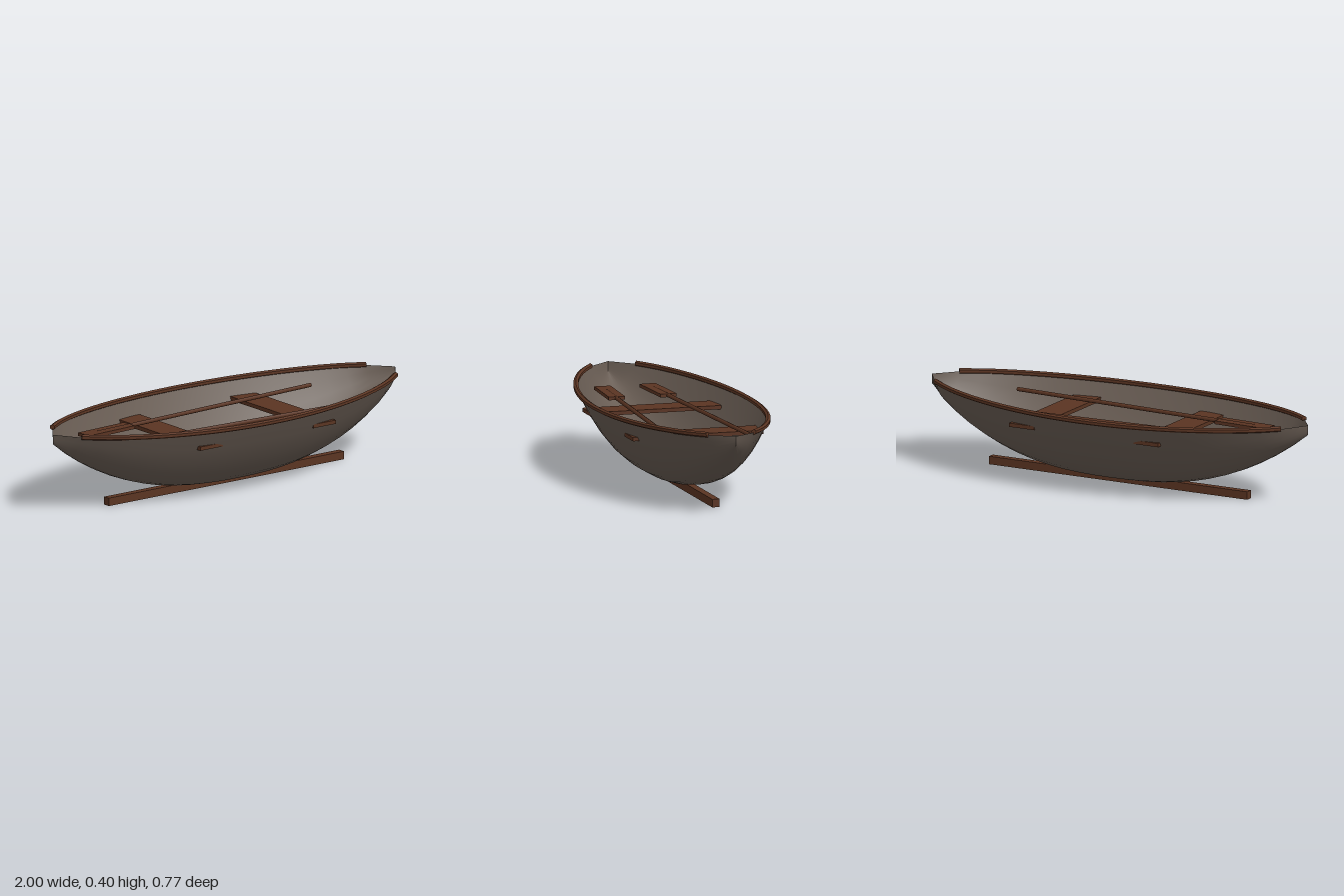
import * as THREE from 'three';

const LENGTH_STEPS = 24, SIDE_STEPS = 14;

// Hull lines: half width, sheer (top edge) height and bottom height along x
const halfBeam = x => 0.375 * Math.pow(Math.max(0, 1 - x * x), 0.66);
const sheer = x => 0.367 + 0.023 * x * x;
const bottom = x => 0.023 + 0.322 * Math.pow(Math.abs(x), 2.5);

// Open shell: cross-sections from stern to bow, each running side to side
function hullGeometry() {
  const pos = [], index = [], row = SIDE_STEPS + 1;
  for (let i = 0; i <= LENGTH_STEPS; i++) {
    const x = -1 + 2 * i / LENGTH_STEPS;
    for (let j = 0; j <= SIDE_STEPS; j++) {
      const v = -1 + 2 * j / SIDE_STEPS;
      const rise = Math.pow(Math.abs(v), 2.3);
      pos.push(x, bottom(x) + (sheer(x) - bottom(x)) * rise, halfBeam(x) * v);
      if (i < LENGTH_STEPS && j < SIDE_STEPS) {
        const a = i * row + j, b = a + row;
        index.push(a, b, a + 1, b, b + 1, a + 1);
      }
    }
  }
  const g = new THREE.BufferGeometry();
  g.setAttribute('position', new THREE.Float32BufferAttribute(pos, 3));
  g.setIndex(index);
  g.computeVertexNormals();
  return g;
}

// Hexagonal rail swept along one top edge, stopping short of both tips
function railGeometry(side) {
  const points = [];
  for (let i = 1; i < LENGTH_STEPS; i++) {
    const x = -1 + 2 * i / LENGTH_STEPS;
    points.push(new THREE.Vector3(x, sheer(x) + 0.002, side * halfBeam(x)));
  }
  const section = new THREE.Shape();
  for (let k = 0; k < 6; k++) {
    const a = k * Math.PI / 3;
    section[k ? 'lineTo' : 'moveTo'](0.013 * Math.cos(a), 0.013 * Math.sin(a));
  }
  section.closePath();
  return new THREE.ExtrudeGeometry(section, {
    steps: 44, bevelEnabled: false, extrudePath: new THREE.CatmullRomCurve3(points),
  });
}

export function createModel() {
  const boat = new THREE.Group();
  boat.name = 'rowingBoat';

  const hullPaint = new THREE.MeshStandardMaterial({ color: 0x675b52, side: THREE.DoubleSide });
  hullPaint.name = 'weatheredHull';
  const wood = new THREE.MeshStandardMaterial({ color: 0x5a3422 });
  wood.name = 'brownWood';

  const add = (parent, name, geometry, material, x = 0, y = 0, z = 0) => {
    const mesh = new THREE.Mesh(geometry, material);
    mesh.name = name;
    mesh.position.set(x, y, z);
    parent.add(mesh);
    return mesh;
  };

  add(boat, 'hull', hullGeometry(), hullPaint);
  add(boat, 'keel', new THREE.BoxGeometry(1.372, 0.038, 0.036), wood, 0, 0.019, 0);

  // Seats, whose corners pass through the hull sides
  for (const x of [-0.315, 0.345]) {
    add(boat, 'seat', new THREE.BoxGeometry(0.132, 0.018, 0.634), wood, x, 0.288, 0);
  }

  for (const side of [-1, 1]) {
    add(boat, side > 0 ? 'frontRail' : 'backRail', railGeometry(side), wood);

    // Oar lying on the seats, angled outward towards +x
    const oar = new THREE.Group();
    oar.name = side > 0 ? 'frontOar' : 'backOar';
    oar.position.set(0, 0.318, side * 0.152);
    oar.rotation.y = -side * 0.058;
    const shaft = new THREE.CylinderGeometry(0.01, 0.01, 1.302, 8).rotateZ(Math.PI / 2);
    add(oar, 'oarShaft', shaft, wood);
    add(oar, 'oarBlade', new THREE.BoxGeometry(0.28, 0.016, 0.078), wood, -0.597, 0, 0);
    boat.add(oar);
  }

  return boat;
}
